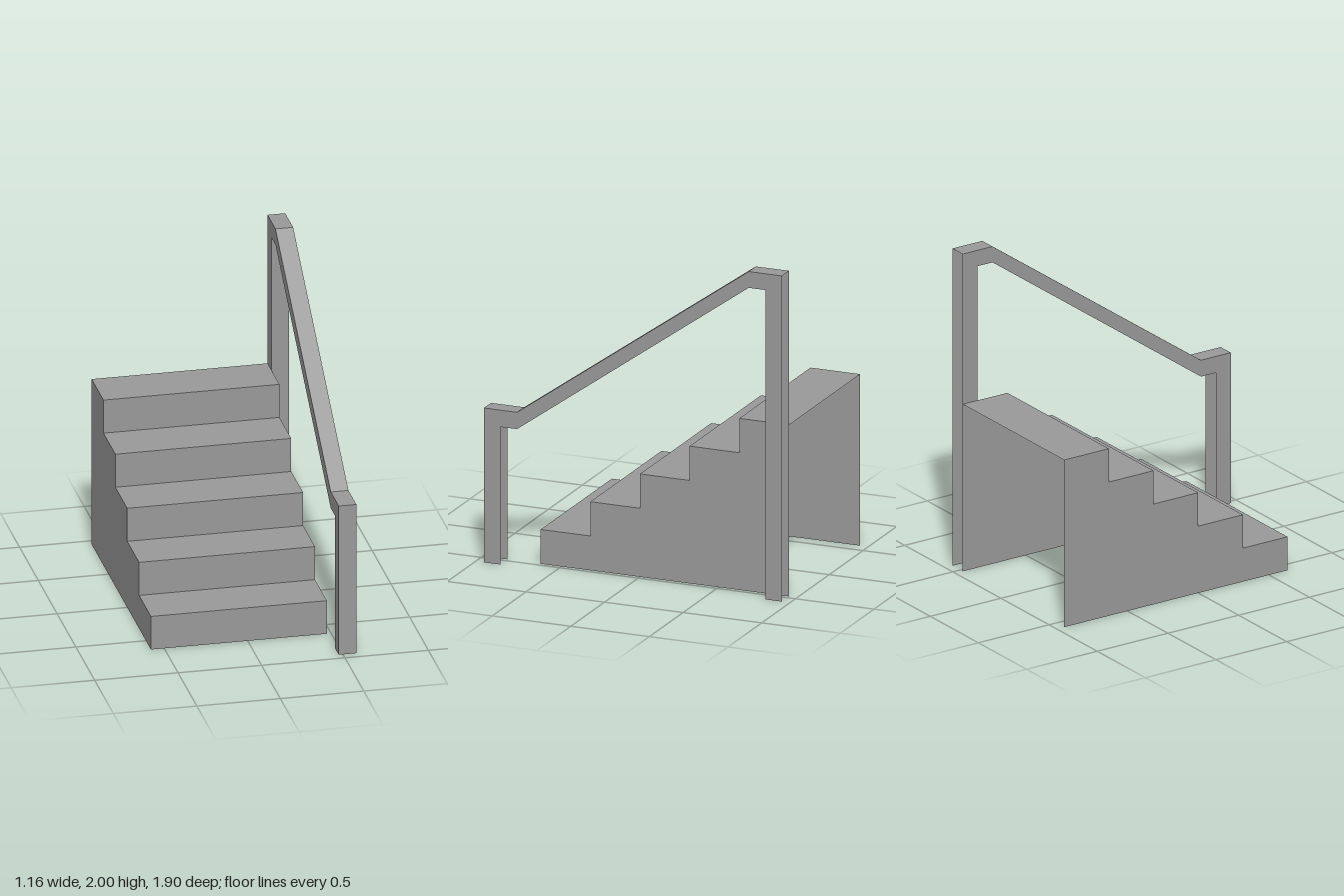
import * as THREE from 'three';

const material = new THREE.MeshStandardMaterial({
  color: 0x9a9a9a, flatShading: true, side: THREE.DoubleSide,
});

function mesh(name, geometry) {
  const m = new THREE.Mesh(geometry, material);
  m.name = name;
  return m;
}

// Flat wall at x from a [z, y] outline, facing outward to dir (+1 or -1)
function wall(name, outline, x, dir) {
  const shape = new THREE.Shape(outline.map(([z, y]) => new THREE.Vector2(-dir * z, y)));
  const geometry = new THREE.ShapeGeometry(shape);
  geometry.rotateY(dir * Math.PI / 2).translate(x, 0, 0);
  return mesh(name, geometry);
}

// Folded sheet: a [z, y] profile, running up and back, swept from x0 to x1
function sheet(name, profile, x0, x1) {
  const positions = [];
  for (let i = 0; i < profile.length - 1; i++) {
    const [pz, py] = profile[i];
    const [qz, qy] = profile[i + 1];
    const a = [x0, py, pz], b = [x1, py, pz], c = [x1, qy, qz], d = [x0, qy, qz];
    positions.push(...a, ...b, ...c, ...a, ...c, ...d);
  }
  const geometry = new THREE.BufferGeometry();
  geometry.setAttribute('position', new THREE.Float32BufferAttribute(positions, 3));
  geometry.computeVertexNormals();
  return mesh(name, geometry);
}

export function createModel() {
  const model = new THREE.Group();
  model.name = 'staircase';
  const left = 0.58, inner = 0.474, right = -0.58, back = -0.948;

  // Hollow stairs, open at the back and underneath
  const stairs = new THREE.Group();
  stairs.name = 'stairs';
  const steps = 5, rise = 0.2107, run = 0.316, front = back + steps * run;
  const profile = [[front, 0]];
  for (let i = 0; i < steps; i++) {
    profile.push([front - i * run, (i + 1) * rise], [front - (i + 1) * run, (i + 1) * rise]);
  }
  const side = [...profile, [back, 0]];
  stairs.add(
    sheet('treadsAndRisers', profile, right, inner),
    wall('leftStairWall', side, inner, 1),
    wall('rightStairWall', side, right, -1),
  );

  // Handrail channel, open at the back and underneath
  const handrail = new THREE.Group();
  handrail.name = 'handrail';
  const top = [[0.948, 0], [0.948, 0.948], [0.737, 0.948], [-0.737, 2], [back, 2]];
  const backPostFront = [[-0.843, 0], [-0.843, 1.9]];
  const outline = [
    ...top, [back, 0], ...backPostFront,
    [-0.737, 1.9], [0.737, 0.845], [0.843, 0.845], [0.843, 0],
  ];
  handrail.add(
    sheet('frontPostAndRailTop', top, inner, left),
    sheet('backPostFront', backPostFront, inner, left),
    wall('railOuterSide', outline, left, 1),
    wall('railInnerSide', outline, inner, -1),
  );

  model.add(stairs, handrail);
  return model;
}
